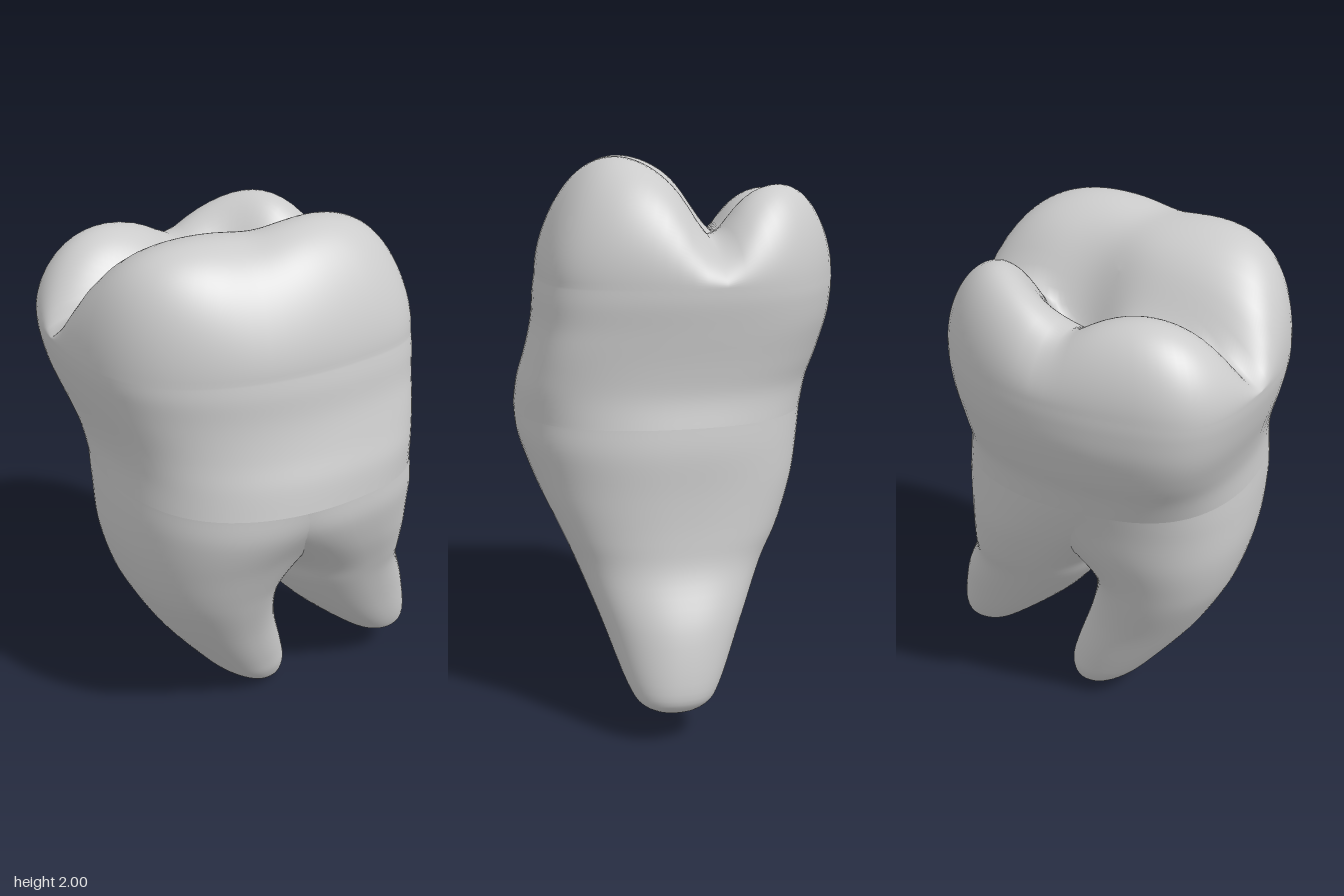
import * as THREE from 'three';

const SEGMENTS = 80;
const material = new THREE.MeshStandardMaterial({ color: 0xcccccc, side: THREE.DoubleSide });

// Ring of points on a rounded-square outline inside the box [x0, x1] x [z0, z1];
// it grows squarer and leans along z towards the crown
function ring([y, x0, x1, z0, z1]) {
  const power = 2.15 + 0.22 * THREE.MathUtils.smoothstep(y, 0.3, 0.8);
  const shear = -0.19 * THREE.MathUtils.smoothstep(y, 0.85, 1.4);
  const bend = (v) => Math.sign(v) * Math.abs(v) ** (2 / power);
  return Array.from({ length: SEGMENTS }, (_, j) => {
    const angle = (j / SEGMENTS) * Math.PI * 2;
    const u = bend(Math.cos(angle)), w = bend(Math.sin(angle));
    const lean = shear * u * (1 - w * w);
    return new THREE.Vector3((x0 + x1) / 2 + u * (x1 - x0) / 2, y, (z0 + z1) / 2 + w * (z1 - z0) / 2 + lean);
  });
}

// Smoothly refine a short list of sections, ordered bottom to top
function refine(sections, steps) {
  const result = [];
  const cubic = (a, b, c, d, t) => b + 0.5 * t * (c - a + t * (2 * a - 5 * b + 4 * c - d + t * (3 * (b - c) + d - a)));
  const at = (i) => sections[Math.min(Math.max(i, 0), sections.length - 1)];
  for (let i = 0; i < sections.length - 1; i++) {
    for (let s = 0; s < steps; s++) {
      result.push(at(i).map((v, k) => cubic(at(i - 1)[k], v, at(i + 1)[k], at(i + 2)[k], s / steps)));
    }
  }
  result.push(at(sections.length - 1));
  return result;
}

// Skin a stack of closed rings
function loft(name, rings) {
  const index = [];
  for (let i = 0; i < rings.length - 1; i++) {
    for (let j = 0; j < SEGMENTS; j++) {
      const k = (j + 1) % SEGMENTS;
      const a = i * SEGMENTS + j, b = i * SEGMENTS + k;
      const c = a + SEGMENTS, d = b + SEGMENTS;
      index.push(a, c, b, b, c, d);
    }
  }
  const geometry = new THREE.BufferGeometry().setFromPoints(rings.flat());
  geometry.setIndex(index);
  geometry.computeVertexNormals();
  const mesh = new THREE.Mesh(geometry, material);
  mesh.name = name;
  return mesh;
}

// Chewing surface: four cusps [x, z, height, steepness x, steepness z] meeting in grooves
const cusps = [
  [0.16, 0.36, 1.985, 1.9, 0.4],
  [0.25, -0.1, 2.0, 2.3, 0.8],
  [-0.48, 0.3, 1.87, 2.0, 1.2],
  [-0.32, -0.27, 1.935, 2.0, 1.6],
];
function chewingHeight(x, z) {
  const heights = cusps.map(([cx, cz, h, kx, kz]) => h - kx * (x - cx) ** 2 - kz * (z - cz) ** 2);
  const top = Math.log(heights.reduce((sum, h) => sum + Math.exp(50 * h), 0)) / 50;
  const pit = 0.16 * Math.exp(-((x + 0.17) ** 2 / 0.03 + (z + 0.07) ** 2 / 0.02));
  const groove = 0.05 * Math.exp(-((x + 0.11 + 0.22 * z) ** 2) / 0.008);
  return top - pit - groove;
}

// Crown walls, [y, x0, x1, z0, z1]; the lowest section is shared with both roots
const neck = [1.1, -0.47, 0.61, -0.512, 0.582];
const crownSections = [
  neck,
  [1.2, -0.51, 0.602, -0.495, 0.582],
  [1.3, -0.56, 0.577, -0.5, 0.6],
  [1.42, -0.602, 0.55, -0.515, 0.635],
  [1.52, -0.615, 0.54, -0.527, 0.658],
  [1.58, -0.615, 0.53, -0.528, 0.664],
];

function createCrown() {
  const rings = refine(crownSections, 5).map(ring);
  const rim = rings[rings.length - 1];
  const rimY = rim[0].y;
  const centre = new THREE.Vector3(-0.03, rimY, 0.06);
  // Concentric rings roll over the rim and follow the cusps
  const count = 44;
  for (let i = 1; i <= count; i++) {
    const s = Math.cos((i / count) * Math.PI / 2);
    const rise = Math.sqrt(1 - s ** 7);
    rings.push(rim.map((p) => {
      const q = centre.clone().lerp(p, s);
      q.y = rimY + (chewingHeight(q.x, q.z) - rimY) * rise;
      return q;
    }));
  }
  return loft('crown', rings);
}

// Roots from tip to neck; they part at y = 0.58 and overlap more and more above it
const roots = {
  frontRoot: [
    [0, 0.02, 0.04, -0.03, -0.01],
    [0.03, -0.08, 0.13, -0.11, 0.05],
    [0.1, -0.14, 0.18, -0.132, 0.14],
    [0.2, -0.175, 0.215, -0.11, 0.23],
    [0.4, -0.23, 0.285, -0.045, 0.385],
    [0.58, -0.295, 0.36, -0.01, 0.49],
    [0.7, -0.335, 0.41, -0.04, 0.54],
    [0.85, -0.39, 0.48, -0.17, 0.575],
    [1.0, -0.435, 0.57, -0.36, 0.585],
    neck,
  ],
  backRoot: [
    [0.1, 0.14, 0.16, -0.58, -0.56],
    [0.13, 0.04, 0.26, -0.64, -0.46],
    [0.2, -0.02, 0.31, -0.665, -0.36],
    [0.4, -0.13, 0.375, -0.625, -0.145],
    [0.58, -0.23, 0.44, -0.55, -0.01],
    [0.7, -0.3, 0.49, -0.53, 0.05],
    [0.85, -0.37, 0.555, -0.522, 0.21],
    [1.0, -0.43, 0.603, -0.522, 0.44],
    neck,
  ],
};

export function createModel() {
  const tooth = new THREE.Group();
  tooth.name = 'tooth';
  tooth.add(createCrown());
  for (const [name, sections] of Object.entries(roots)) {
    tooth.add(loft(name, refine(sections, 5).map(ring)));
  }
  return tooth;
}
